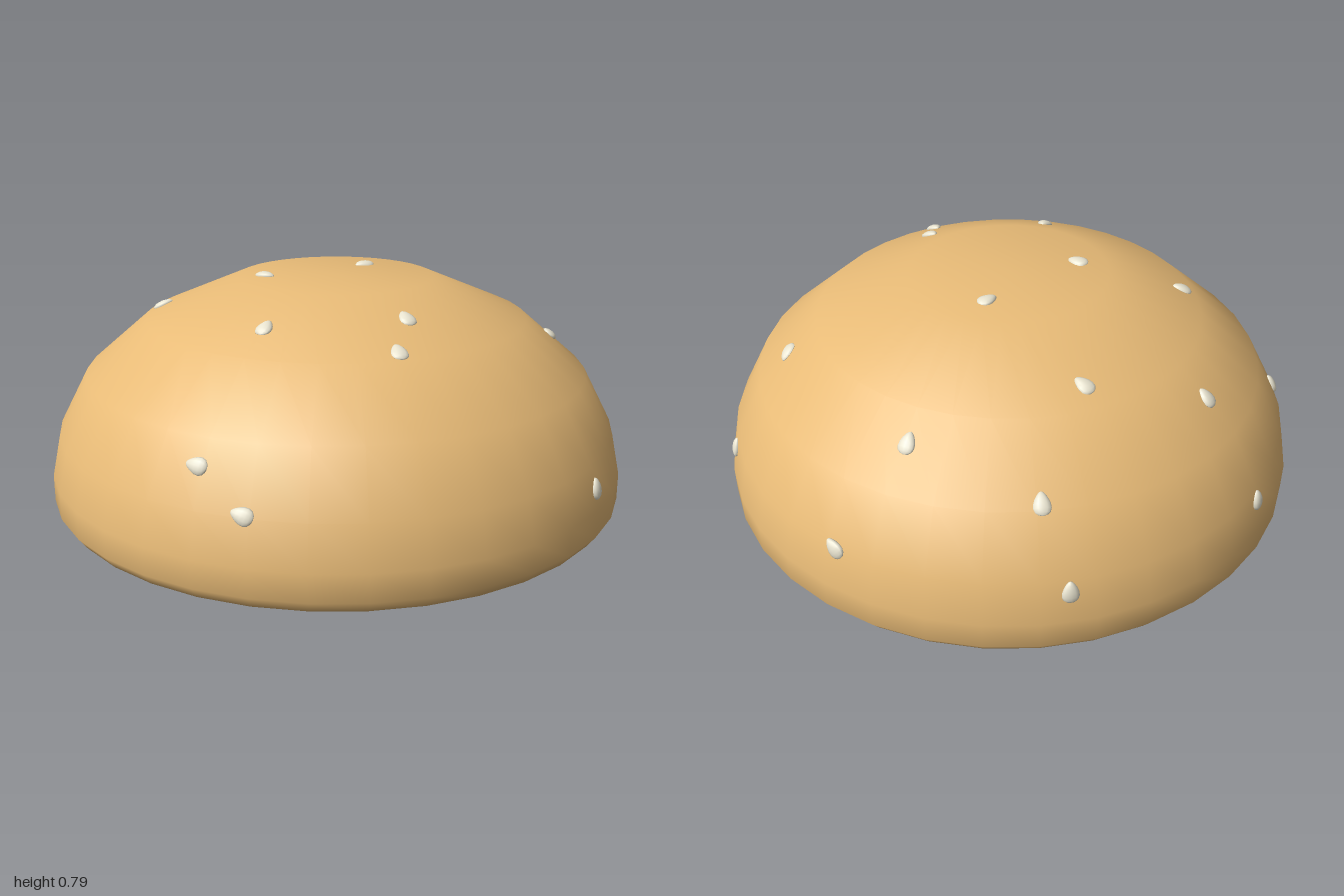
import * as THREE from 'three';

// Bun outline as [radius, height], from the underside centre to the crown centre
const PROFILE = [
  [0, 0], [0.65, 0], [0.97, 0], [1, 0.04], [1, 0.13], [0.97, 0.27],
  [0.87, 0.46], [0.66, 0.64], [0.34, 0.775], [0, 0.775],
];

// Seeds as [x, z, turn of the tip away from uphill in degrees]
const SEEDS = [
  [0.14, -0.96, 50], [-0.565, -0.798, 0], [-0.44, -0.73, 0], [-0.01, -0.745, 0],
  [0.745, -0.635, 0], [0.61, -0.46, -127], [-0.43, -0.39, 30], [-0.02, -0.21, -30],
  [-0.962, -0.17, 0], [-0.75, -0.13, 0], [0.985, -0.015, 0], [-0.19, 0.155, -40],
  [0.42, 0.22, 0], [-0.52, 0.32, 0], [0.49, 0.38, 0], [-0.86, 0.42, 0],
  [0.085, 0.51, 0], [0.135, 0.9, 85], [0.31, 0.915, 75],
];

// Flattened egg with its narrow end toward +y
function seedGeometry() {
  const geometry = new THREE.SphereGeometry(1, 12, 8);
  const p = geometry.attributes.position;
  for (let i = 0; i < p.count; i++) {
    const taper = 1 - 0.35 * p.getY(i);
    p.setXYZ(i, p.getX(i) * 0.026 * taper, p.getY(i) * 0.036, p.getZ(i) * 0.014);
  }
  geometry.computeVertexNormals();
  return geometry;
}

// Sets a seed on the bun surface, lying flat against the slope
function placeSeed(mesh, x, z, turn) {
  const r = Math.hypot(x, z);
  const ca = x / r, sa = z / r;
  let i = 4;
  while (i < PROFILE.length - 2 && PROFILE[i + 1][0] > r) i++;
  const [r0, y0] = PROFILE[i], [r1, y1] = PROFILE[i + 1];
  const y = y0 + (y1 - y0) * (r0 - r) / (r0 - r1);
  const uphill = new THREE.Vector3((r1 - r0) * ca, y1 - y0, (r1 - r0) * sa).normalize();
  const normal = new THREE.Vector3((y1 - y0) * ca, r0 - r1, (y1 - y0) * sa).normalize();
  const across = new THREE.Vector3().crossVectors(uphill, normal);
  mesh.position.set(x, y, z);
  mesh.quaternion.setFromRotationMatrix(new THREE.Matrix4().makeBasis(across, uphill, normal));
  mesh.rotateZ(THREE.MathUtils.degToRad(turn));
}

export function createModel() {
  const model = new THREE.Group();
  model.name = 'seededBunTop';

  // Bun dome
  const points = PROFILE.map(([r, y]) => new THREE.Vector2(r, y));
  const bun = new THREE.Mesh(
    new THREE.LatheGeometry(points, 36),
    new THREE.MeshStandardMaterial({ color: 0xe8bb77 }),
  );
  bun.name = 'bun';
  model.add(bun);

  // Scattered seeds
  const seeds = new THREE.Group();
  seeds.name = 'seeds';
  const geometry = seedGeometry();
  const material = new THREE.MeshStandardMaterial({ color: 0xe8e3cf });
  for (const [x, z, turn] of SEEDS) {
    const seed = new THREE.Mesh(geometry, material);
    seed.name = 'seed';
    placeSeed(seed, x, z, turn);
    seeds.add(seed);
  }
  model.add(seeds);
  return model;
}
